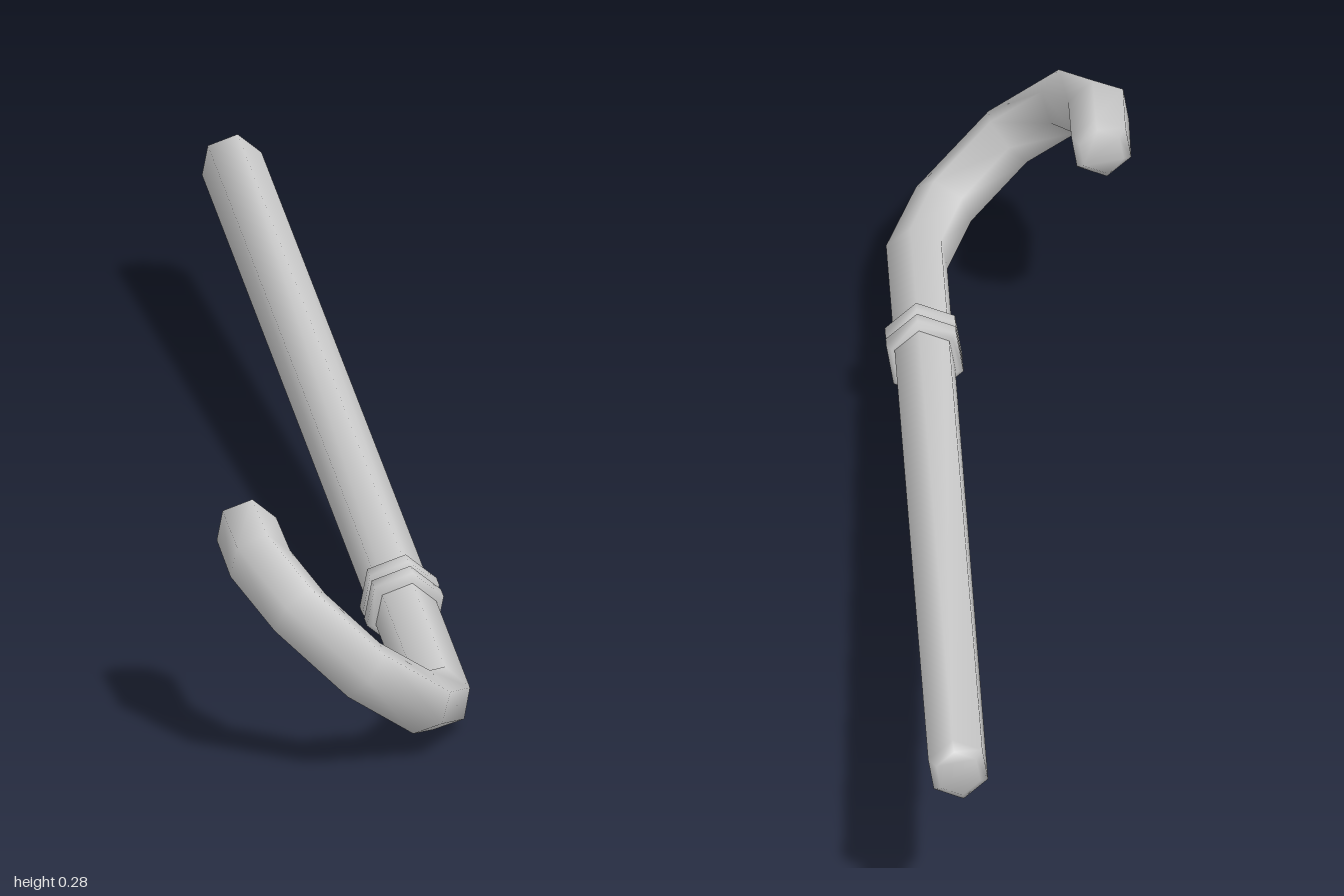
import * as THREE from 'three';

const V = (x, y, z) => new THREE.Vector3(x, y, z);
const SIDES = 6;

// Centre line: tip of the straight shaft, then round the hook to its end
const path = [
  V(-0.085, 0.175, -0.998), V(0.117, 0.041, 0.79), V(0.092, 0.068, 0.89),
  V(0.018, 0.132, 0.957), V(-0.06, 0.198, 0.927), V(-0.106, 0.231, 0.83), V(-0.121, 0.239, 0.695),
];
const shaftDir = path[1].clone().sub(path[0]).normalize();
const planeNormal = shaftDir.clone().cross(path[5].clone().sub(path[1])).normalize();

// Closed six-sided tube through sections { p: centre, t: tangent, r: radius }
function sweep(name, sections, material) {
  const pos = [], index = [];
  for (const { p, t, r } of sections) {
    const u = planeNormal.clone().cross(t).normalize();
    const v = t.clone().cross(u).normalize();
    for (let k = 0; k < SIDES; k++) {
      const a = (k / SIDES) * Math.PI * 2;
      const q = p.clone().addScaledVector(u, Math.cos(a) * r).addScaledVector(v, Math.sin(a) * r);
      pos.push(q.x, q.y, q.z);
    }
  }
  const last = (sections.length - 1) * SIDES;
  for (let k = 0; k < SIDES; k++) {
    const n = (k + 1) % SIDES;
    for (let i = 0; i < last; i += SIDES) {
      index.push(i + k, i + n, i + SIDES + n, i + k, i + SIDES + n, i + SIDES + k);
    }
    // end caps as fans
    if (k > 0 && k < SIDES - 1) index.push(0, n, k, last, last + k, last + n);
  }
  const geo = new THREE.BufferGeometry();
  geo.setAttribute('position', new THREE.Float32BufferAttribute(pos, 3));
  geo.setIndex(index);
  geo.computeVertexNormals();
  const mesh = new THREE.Mesh(geo, material);
  mesh.name = name;
  return mesh;
}

export function createModel() {
  const group = new THREE.Group();
  group.name = 'cane';
  const material = new THREE.MeshStandardMaterial({ color: 0xcccccc });

  // Shaft and hook in one piece, with bevelled ends
  const R = 0.0395, bevel = 0.015, rEnd = 0.029;
  const sections = [];
  const n = path.length;
  path.forEach((p, i) => {
    const before = i > 0 ? p.clone().sub(path[i - 1]).normalize() : null;
    const after = i < n - 1 ? path[i + 1].clone().sub(p).normalize() : null;
    if (!before) {
      sections.push({ p, t: after, r: rEnd });
      sections.push({ p: p.clone().addScaledVector(after, bevel), t: after, r: R });
    } else if (!after) {
      sections.push({ p: p.clone().addScaledVector(before, -bevel), t: before, r: R });
      sections.push({ p, t: before, r: rEnd });
    } else {
      sections.push({ p, t: before.clone().add(after).normalize(), r: R * 1.03 });
    }
  });
  group.add(sweep('shaftAndHook', sections, material));

  // Two bevelled bands side by side on the shaft
  const profile = [[-0.019, 0.044], [-0.012, 0.051], [0.012, 0.051], [0.019, 0.044]];
  for (const [name, z] of [['upperBand', 0.451], ['lowerBand', 0.489]]) {
    const centre = path[0].clone().addScaledVector(shaftDir, (z - path[0].z) / shaftDir.z);
    group.add(sweep(name, profile.map(([d, r]) => (
      { p: centre.clone().addScaledVector(shaftDir, d), t: shaftDir, r })), material));
  }
  return group;
}
